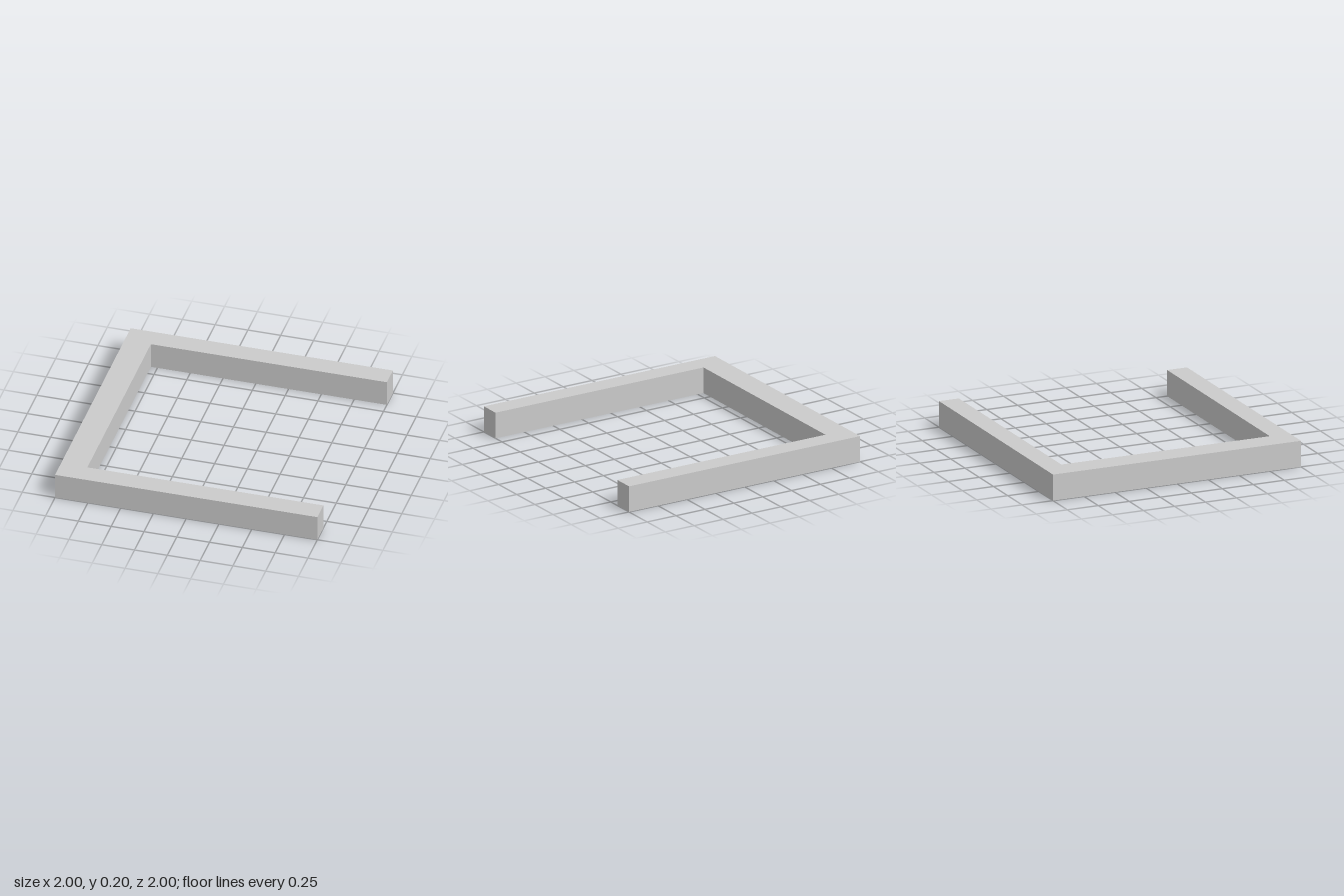
import * as THREE from 'three';

const HEIGHT = 0.2;

// U-shaped plan, counter-clockwise, as (x, -z)
const PLAN = [
  [-1, -1], [1, -1], [1, -0.84], [-0.8, -0.84],
  [-0.8, 0.84], [1, 0.84], [1, 1], [-1, 1],
].map(([x, y]) => new THREE.Vector2(x, y));

export function createModel() {
  const group = new THREE.Group();
  group.name = 'openFrame';
  const material = new THREE.MeshStandardMaterial({
    color: 0xcccccc, flatShading: true, side: THREE.DoubleSide,
  });

  // Flat top; the underside of the frame is left open
  const top = new THREE.Mesh(new THREE.ShapeGeometry(new THREE.Shape(PLAN)), material);
  top.name = 'topFace';
  top.rotation.x = -Math.PI / 2;
  top.position.y = HEIGHT;
  group.add(top);

  // One upright wall along each edge of the plan, facing outwards
  const names = ['frontOuterWall', 'frontArmEnd', 'frontInnerWall', 'spineInnerWall',
    'backInnerWall', 'backArmEnd', 'backOuterWall', 'spineOuterWall'];
  PLAN.forEach((a, i) => {
    const b = PLAN[(i + 1) % PLAN.length];
    const wall = new THREE.Mesh(new THREE.PlaneGeometry(a.distanceTo(b), HEIGHT), material);
    wall.name = names[i];
    wall.position.set((a.x + b.x) / 2, HEIGHT / 2, -(a.y + b.y) / 2);
    wall.rotation.y = Math.atan2(b.y - a.y, b.x - a.x);
    group.add(wall);
  });

  return group;
}
